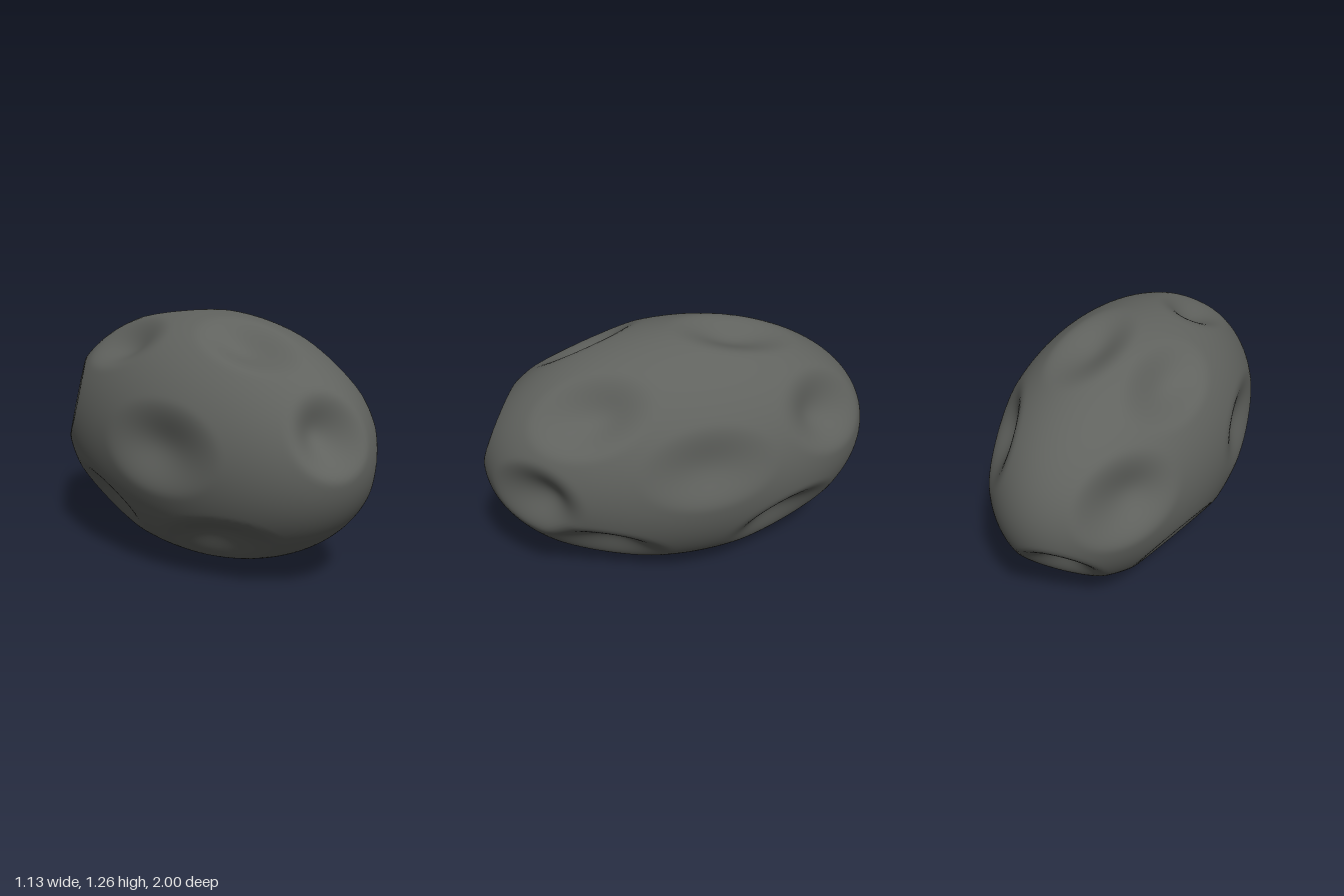
import * as THREE from 'three';
import { mergeVertices } from 'three/addons/utils/BufferGeometryUtils.js';

const RADII = new THREE.Vector3(0.57, 0.632, 1);
const CENTRE_Y = 0.635;

// crater centres on the surface: x, y, z, angular radius, depth
const CRATERS = [
  // front end
  [-0.12, 0.79, 0.9, 0.34, 0.13],
  [0.31, 0.58, 0.8, 0.36, 0.13],
  // upper front
  [0.33, 1.0, 0.52, 0.36, 0.13],
  [-0.15, 1.13, 0.43, 0.34, 0.12],
  // lower front
  [-0.33, 0.2, 0.44, 0.38, 0.13],
  [0.37, 0.25, 0.5, 0.37, 0.13],
  // top
  [0.07, 1.22, -0.27, 0.36, 0.12],
  [-0.33, 1.12, -0.28, 0.34, 0.12],
  // sides
  [0.55, 0.75, 0.0, 0.36, 0.1],
  [-0.53, 0.68, 0.24, 0.38, 0.13],
  // back end
  [0.35, 0.87, -0.67, 0.38, 0.13],
  [-0.33, 0.75, -0.72, 0.38, 0.13],
  [-0.05, 0.37, -0.82, 0.38, 0.13],
  // underside
  [0.41, 0.31, -0.45, 0.37, 0.13],
  [-0.42, 0.28, -0.33, 0.36, 0.12],
  [0.12, 0.02, -0.1, 0.33, 0.11],
].map(([x, y, z, radius, depth]) => ({
  dir: new THREE.Vector3(x, y - CENTRE_Y, z).divide(RADII).normalize(),
  radius,
  depth,
}));

// smooth bowl, deepest in the middle and level at the rim
function dent(dir) {
  let sum = 0;
  for (const c of CRATERS) {
    const t = dir.angleTo(c.dir) / c.radius;
    if (t < 1) sum += c.depth * (1 - t * t) ** 2;
  }
  return sum;
}

export function createModel() {
  const group = new THREE.Group();
  group.name = 'asteroid';

  // unit ball with shared vertices, so the normals come out smooth
  let geometry = new THREE.IcosahedronGeometry(1, 36);
  geometry.deleteAttribute('normal');
  geometry.deleteAttribute('uv');
  geometry = mergeVertices(geometry, 1e-4);

  // press the craters into the ball, then stretch it to an egg shape
  const pos = geometry.attributes.position;
  const v = new THREE.Vector3();
  for (let i = 0; i < pos.count; i++) {
    v.fromBufferAttribute(pos, i).normalize();
    v.multiplyScalar(1 - dent(v)).multiply(RADII);
    pos.setXYZ(i, v.x, v.y + CENTRE_Y, v.z);
  }
  geometry.computeVertexNormals();

  const rock = new THREE.Mesh(geometry, new THREE.MeshStandardMaterial({ color: 0x60625e }));
  rock.name = 'crateredRock';
  group.add(rock);
  return group;
}
